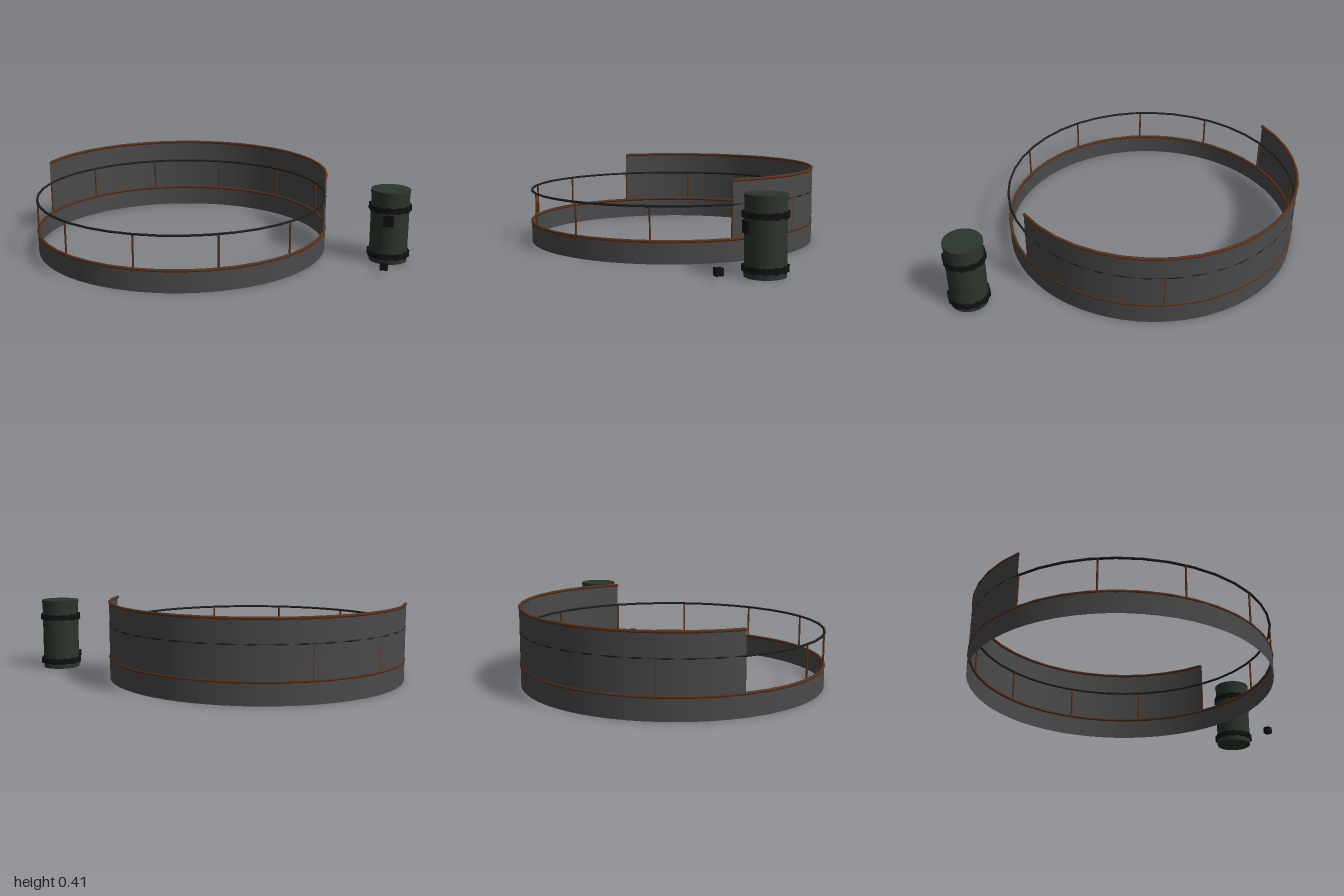
import * as THREE from 'three';

const mat = (name, color, side = THREE.FrontSide) => {
  const m = new THREE.MeshStandardMaterial({ color, side });
  m.name = name;
  return m;
};

export function createModel() {
  const wallGrey = mat('wall grey', 0x4a4a4a, THREE.DoubleSide);
  const rust = mat('rust brown', 0x5a3219);
  const railDark = mat('dark rail', 0x1c211c);
  const green = mat('drum green', 0x2b352b);
  const black = mat('fitting black', 0x111111);

  const model = new THREE.Group();
  const add = (parent, name, geometry, material, x = 0, y = 0, z = 0) => {
    const mesh = new THREE.Mesh(geometry, material);
    mesh.name = name;
    mesh.position.set(x, y, z);
    parent.add(mesh);
    return mesh;
  };
  // Horizontal ring; a half ring covers the back (-z) side
  const ring = (radius, tube, segments, arc = Math.PI * 2) =>
    new THREE.TorusGeometry(radius, tube, 8, segments, arc).rotateX(-Math.PI / 2);

  // Circular enclosure
  const enclosure = new THREE.Group();
  enclosure.name = 'enclosure';
  enclosure.position.x = -0.22;
  model.add(enclosure);
  const R = 0.774;
  add(enclosure, 'lowerWall', new THREE.CylinderGeometry(R, R, 0.11, 64, 1, true), wallGrey, 0, 0.055);
  add(enclosure, 'backWall',
    new THREE.CylinderGeometry(R, R, 0.29, 32, 1, true, Math.PI / 2, Math.PI), wallGrey, 0, 0.255);
  add(enclosure, 'lowerTrim', ring(0.771, 0.008, 40), rust, 0, 0.11);
  add(enclosure, 'upperTrim', ring(0.771, 0.008, 20, Math.PI), rust, 0, 0.397);
  add(enclosure, 'handRail', ring(0.77, 0.006, 40), railDark, 0, 0.28);

  // Railing posts every 30 degrees
  const postGeometry = new THREE.CylinderGeometry(0.005, 0.005, 0.17, 8);
  for (let i = 0; i < 12; i++) {
    const a = (i * Math.PI) / 6;
    add(enclosure, 'railPost', postGeometry, rust, Math.cos(a) * 0.769, 0.195, Math.sin(a) * 0.769);
  }

  // Drum beside the enclosure
  const drum = new THREE.Group();
  drum.name = 'drum';
  drum.position.x = 0.89;
  model.add(drum);
  add(drum, 'drumBody', new THREE.CylinderGeometry(0.097, 0.097, 0.36, 32), green, 0, 0.18);
  add(drum, 'drumLid', new THREE.CylinderGeometry(0.1, 0.1, 0.015, 32), green, 0, 0.3675);
  add(drum, 'controlPanel', new THREE.BoxGeometry(0.053, 0.058, 0.02), black, 0, 0.23, 0.095);

  // Bolted bands
  const bandGeometry = new THREE.CylinderGeometry(0.106, 0.106, 0.026, 32);
  const boltGeometry = new THREE.BoxGeometry(0.016, 0.033, 0.012);
  for (const y of [0.04, 0.283]) {
    add(drum, 'band', bandGeometry, black, 0, y);
    for (let i = 0; i < 12; i++) {
      const a = (i * Math.PI) / 6;
      const bolt = add(drum, 'bandBolt', boltGeometry, black, Math.sin(a) * 0.102, y, Math.cos(a) * 0.102);
      bolt.rotation.y = a;
    }
  }

  // Small valve block in front of the drum
  add(model, 'valveBlock', new THREE.BoxGeometry(0.038, 0.035, 0.035), black, 0.89, 0.04, 0.233);
  return model;
}
